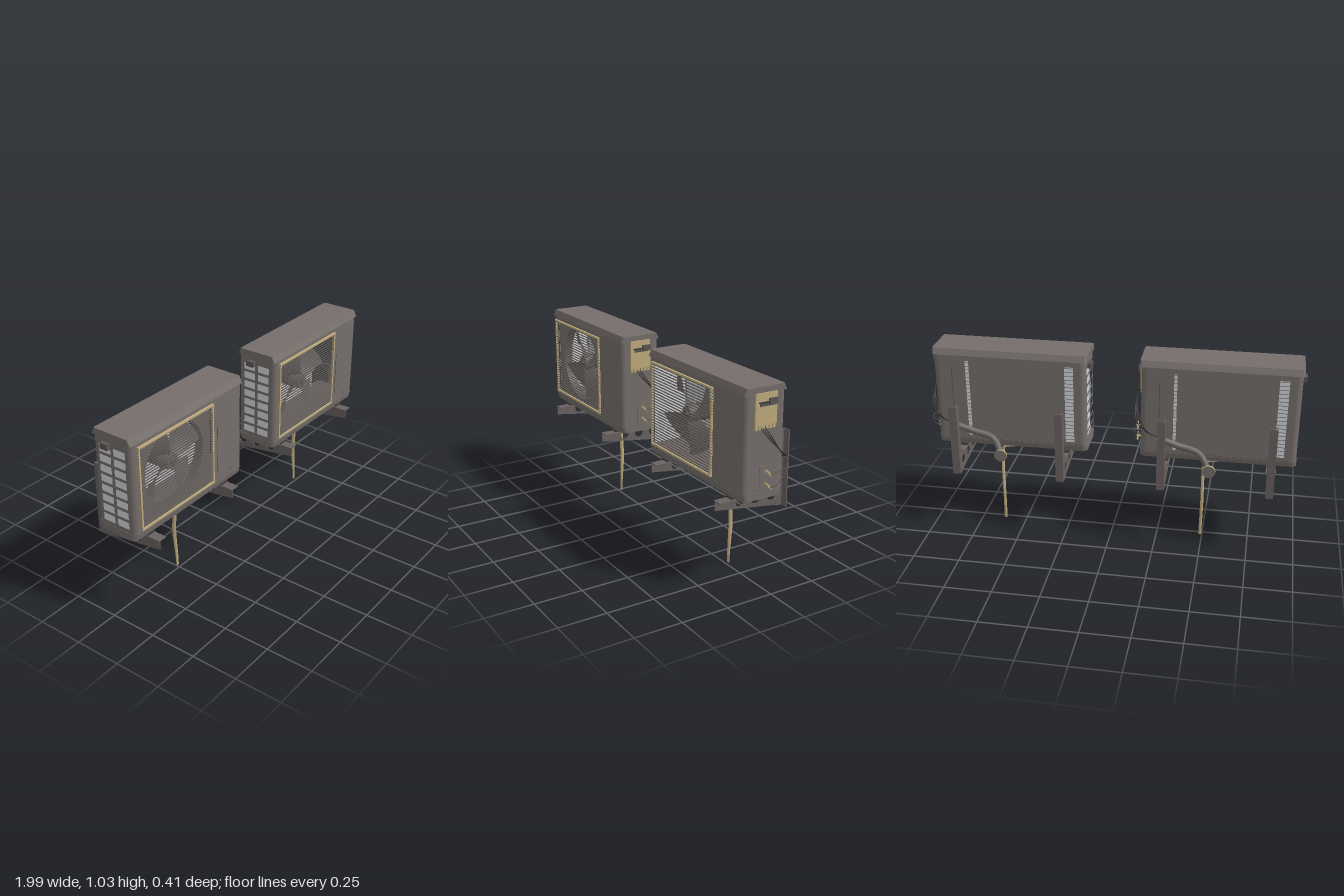
import * as THREE from 'three';

const mat = (name, color, side = THREE.FrontSide) => {
  const m = new THREE.MeshStandardMaterial({ color, side });
  m.name = name;
  return m;
};
const M = {
  body: mat('warm grey casing', 0x756e6b),
  metal: mat('bracket grey', 0x686260, THREE.DoubleSide),
  fan: mat('fan grey', 0x6f6866, THREE.DoubleSide),
  dark: mat('dark rubber', 0x3b3736),
  wire: mat('wire grey', 0x5b5653),
  beige: mat('beige plastic', 0xbfab7d),
  fins: mat('pale aluminium', 0xd4d5da, THREE.DoubleSide),
};
const ZC = 0.0385, HW = 0.41, HD = 0.1175, R = 0.03; // casing centre, half width, half depth, corner
const V = (x, y, z) => new THREE.Vector3(x, y, z);

function add(parent, name, geo, material, x = 0, y = 0, z = 0) {
  const mesh = new THREE.Mesh(geo, material);
  mesh.name = name;
  mesh.position.set(x, y, z);
  parent.add(mesh);
  return mesh;
}
// Box given by its two extreme corners
function box(parent, name, material, x0, x1, y0, y1, z0, z1) {
  return add(parent, name, new THREE.BoxGeometry(x1 - x0, y1 - y0, z1 - z0), material,
    (x0 + x1) / 2, (y0 + y1) / 2, (z0 + z1) / 2);
}
function rect(target, x0, x1, y0, y1) {
  target.moveTo(x0, y0).lineTo(x1, y0).lineTo(x1, y1).lineTo(x0, y1).closePath();
  return target;
}
// Flat sheet with rectangular holes, facing +z before it is turned
function sheet(x0, x1, y0, y1, holes, turn) {
  const s = rect(new THREE.Shape(), x0, x1, y0, y1);
  holes.forEach((h) => s.holes.push(rect(new THREE.Path(), ...h)));
  return new THREE.ShapeGeometry(s).rotateY(turn);
}
function tube(parent, name, material, points, radius, sides = 8) {
  const curve = new THREE.CatmullRomCurve3(points, false, 'centripetal');
  return add(parent, name, new THREE.TubeGeometry(curve, 30, radius, sides), material);
}
// Rounded slab whose lower and upper outlines are drawn in at front and back
function slab(hw, hd, r, y0, y1, lowInset, topInset) {
  const s = new THREE.Shape();
  s.absarc(hw - r, hd - r, r, 0, Math.PI / 2);
  s.absarc(-hw + r, hd - r, r, Math.PI / 2, Math.PI);
  s.absarc(-hw + r, -hd + r, r, Math.PI, Math.PI * 1.5);
  s.absarc(hw - r, -hd + r, r, Math.PI * 1.5, Math.PI * 2);
  const g = new THREE.ExtrudeGeometry(s, { depth: y1 - y0, bevelEnabled: false, curveSegments: 5 });
  g.rotateX(-Math.PI / 2);
  const p = g.attributes.position;
  for (let i = 0; i < p.count; i++)
    p.setZ(i, p.getZ(i) * (1 - (p.getY(i) > (y1 - y0) / 2 ? topInset : lowInset) / hd));
  g.computeVertexNormals();
  return g.translate(0, y0, ZC);
}

function casing(unit) {
  const g = new THREE.Group();
  g.name = 'casing';
  const y0 = 0.515, y1 = 1.0, w = HW - R, d = HD - R;
  add(g, 'frontPanel', sheet(-w, w, y0, y1, [[-0.368, 0.165, 0.545, 0.975]], 0), M.body, 0, 0, ZC + HD);
  add(g, 'backPanel', sheet(-w, w, y0, y1, [[-0.237, 0.345, 0.54, 0.97]], Math.PI), M.body, 0, 0, ZC - HD);
  add(g, 'leftPanel', sheet(-d, d, y0, y1, [], Math.PI / 2), M.body, HW, 0, ZC);
  // Side guard with two columns of openings
  const holes = [];
  for (let r = 0; r < 8; r++) for (const c of [-0.08, 0.008])
    holes.push([c, c + 0.07, 0.545 + r * 0.053, 0.583 + r * 0.053]);
  add(g, 'rightGuard', sheet(-d, d, y0, y1, holes, -Math.PI / 2), M.body, -HW, 0, ZC);
  [[1, 1], [1, -1], [-1, -1], [-1, 1]].forEach(([sx, sz], i) =>
    add(g, 'casingCorner', new THREE.CylinderGeometry(R, R, y1 - y0, 8, 1, true, i * Math.PI / 2, Math.PI / 2),
      M.body, sx * w, (y0 + y1) / 2, ZC + sz * d));
  add(g, 'lid', slab(0.416, 0.119, 0.012, 0.998, 1.03, 0, 0.016), M.body);
  add(g, 'baseTray', slab(0.412, 0.1185, R, 0.488, 0.525, 0.008, 0), M.body);
  // Long shallow grip crease on the front panel
  box(g, 'frontCrease', M.wire, 0.206, 0.209, 0.58, 0.83, 0.154, 0.158);
  box(g, 'frontLatch', M.wire, 0.305, 0.32, 0.55, 0.555, 0.154, 0.158);
  box(g, 'backCrease', M.wire, 0.31, 0.314, 0.66, 0.93, -0.081, -0.077);
  for (const s of [-1, 1]) box(g, 'sideClip', M.wire, s * 0.42 - 0.012, s * 0.42 + 0.012, 0.945, 0.975, -0.015, 0.03);
  unit.add(g);
}

function coil(unit) {
  // Pale finned sheet bent round the back and the guarded side
  add(unit, 'coilBack', sheet(-0.385, 0.3, 0.53, 0.98, [], 0), M.fins, 0, 0, -0.058);
  add(unit, 'coilSide', sheet(-0.13, 0.058, 0.53, 0.98, [], Math.PI / 2), M.fins, -0.395, 0, 0);
  // Plain cover over the middle of the back
  add(unit, 'backCover', sheet(-0.222, 0.295, 0.53, 0.98, [], Math.PI), M.body, 0, 0, -0.066);
  for (let i = 0; i < 20; i++) {
    const y = 0.55 + i * 0.0215;
    box(unit, 'coilWire', M.wire, -0.345, -0.293, y, y + 0.002, -0.071, -0.069);
    box(unit, 'coilWire', M.wire, 0.22, 0.237, y, y + 0.002, -0.071, -0.069);
  }
}

function blade() {
  const g = new THREE.PlaneGeometry(1, 1, 8, 6);
  const p = g.attributes.position;
  for (let i = 0; i < p.count; i++) {
    const u = p.getX(i), t = p.getY(i) + 0.5;
    const r = 0.035 + t * 0.168, a = u * (0.75 + 0.25 * t) + 0.2 * t;
    p.setXYZ(i, r * Math.cos(a), r * Math.sin(a), -u * 0.055 - 0.02 * u * t);
  }
  g.computeVertexNormals();
  return g;
}

function fan(unit, withShroud) {
  const g = new THREE.Group();
  g.name = 'fan';
  g.position.set(-0.1, 0.77, 0.095);
  const bladeGeo = blade();
  for (let i = 0; i < 4; i++)
    add(g, 'fanBlade', bladeGeo, M.fan).rotation.z = Math.PI / 4 - 0.25 + i * Math.PI / 2;
  add(g, 'fanHub', new THREE.CylinderGeometry(0.04, 0.048, 0.05, 24).rotateX(Math.PI / 2), M.fan, 0, 0, 0.005);
  add(g, 'hubCap', new THREE.CylinderGeometry(0.016, 0.02, 0.012, 16).rotateX(Math.PI / 2), M.wire, 0, 0, 0.034);
  add(g, 'fanMotor', new THREE.CylinderGeometry(0.045, 0.045, 0.08, 20).rotateX(Math.PI / 2), M.wire, 0, 0, -0.07);
  unit.add(g);
  if (!withShroud) return;
  // Inner plate with a round mouth around the blades
  const s = rect(new THREE.Shape(), -0.37, 0.168, 0.54, 0.98);
  s.holes.push(new THREE.Path().absarc(-0.1, 0.77, 0.212, 0, Math.PI * 2));
  add(unit, 'fanShroud', new THREE.ShapeGeometry(s, 32), M.body, 0, 0, 0.14);
  add(unit, 'fanRing', new THREE.CylinderGeometry(0.212, 0.212, 0.05, 48, 1, true).rotateX(Math.PI / 2),
    M.metal, -0.1, 0.77, 0.115);
}

function grille(unit) {
  const g = new THREE.Group();
  g.name = 'grille';
  const [x0, x1, y0, y1] = [-0.373, 0.17, 0.538, 0.98];
  box(g, 'grilleFrame', M.beige, x0, x1, y1 - 0.01, y1, 0.153, 0.168);
  box(g, 'grilleFrame', M.beige, x0, x1, y0, y0 + 0.01, 0.153, 0.168);
  for (const x of [x0, x1 - 0.01]) box(g, 'grilleFrame', M.beige, x, x + 0.01, y0, y1, 0.153, 0.166);
  for (let i = 0; i < 29; i++) {
    const y = 0.553 + i * 0.0147;
    box(g, 'grilleWire', M.wire, x0 - 0.001, x1 + 0.001, y, y + 0.003, 0.158, 0.165);
  }
  unit.add(g);
}

function bracket(unit, x) {
  const g = new THREE.Group();
  g.name = 'wallBracket';
  g.position.x = x;
  // Tapered arm with hexagonal cut-outs, drawn as z against y
  const s = new THREE.Shape([[0.205, 0.41], [0.205, 0.462], [-0.19, 0.462], [-0.19, 0.355]]
    .map(([z, y]) => new THREE.Vector2(z, y)));
  for (const z of [0.06, -0.033, -0.126]) {
    const pts = [];
    for (let i = 0; i < 6; i++) {
      const a = i * Math.PI / 3 + 0.2;
      pts.push(new THREE.Vector2(z + 0.028 * Math.cos(a), 0.426 - (0.06 - z) * 0.05 + 0.028 * Math.sin(a)));
    }
    s.holes.push(new THREE.Path(pts));
  }
  const web = new THREE.ExtrudeGeometry(s, { depth: 0.005, bevelEnabled: false }).rotateY(-Math.PI / 2);
  add(g, 'armWeb', web, M.metal, -0.015);
  box(g, 'armFlange', M.metal, -0.025, 0.027, 0.456, 0.462, -0.11, 0.205);
  box(g, 'wallPostWeb', M.metal, -0.02, -0.014, 0.355, 0.75, -0.193, -0.155);
  box(g, 'wallPostPlate', M.metal, -0.02, 0.022, 0.355, 0.75, -0.193, -0.187);
  box(g, 'footRail', M.dark, -0.025, 0.025, 0.467, 0.474, -0.065, 0.14);
  box(g, 'footPad', M.metal, -0.02, 0.02, 0.462, 0.49, -0.045, 0.1);
  unit.add(g);
}

function drain(unit) {
  const pipe = tube(unit, 'drainHose', M.beige, [V(-0.01, 0.482, 0), V(0, 0.468, 0), V(0.03, 0.464, 0),
    V(0.062, 0.455, 0), V(0.07, 0.43, 0), V(0.072, 0.2, -0.008), V(0.076, 0.002, 0.001)], 0.0085);
  // Flattened hose, pinched towards its lower end
  const p = pipe.geometry.attributes.position;
  for (let i = 0; i < p.count; i++)
    p.setZ(i, -0.02 + p.getZ(i) * 1.4 * Math.min(1, 0.35 + p.getY(i) * 3.2));
  pipe.geometry.computeVertexNormals();
  add(unit, 'drainSpout', new THREE.CylinderGeometry(0.02, 0.016, 0.02, 14), M.beige, -0.01, 0.482, -0.02);
}

function connections(unit) {
  // Terminal cover with a hand grip and a row of clamps
  box(unit, 'terminalCover', M.beige, 0.4, 0.42, 0.85, 1.003, -0.02, 0.1);
  box(unit, 'terminalGrip', M.wire, 0.415, 0.4225, 0.94, 0.956, -0.008, 0.078);
  box(unit, 'gripLip', M.dark, 0.415, 0.428, 0.956, 0.961, -0.013, 0.083);
  for (let i = 0; i < 6; i++)
    box(unit, 'cableClamp', M.beige, 0.405, 0.418, 0.83, 0.85, -0.016 + i * 0.02, -0.002 + i * 0.02);
  box(unit, 'valvePlate', M.body, 0.408, 0.413, 0.525, 0.65, -0.01, 0.06);
  // Service valves
  for (const y of [0.62, 0.557]) {
    add(unit, 'valveStem', new THREE.CylinderGeometry(0.006, 0.006, 0.034, 10).rotateZ(Math.PI / 2), M.beige, 0.427, y, 0.027);
    add(unit, 'valveBody', new THREE.CylinderGeometry(0.005, 0.005, 0.045, 10).rotateX(0.7), M.beige, 0.436, y, 0.027);
    tube(unit, 'copperPipe', M.wire, [V(0.44, y - 0.01, 0.02), V(0.448, y + 0.005, -0.02),
      V(0.43, 0.63, -0.09), V(0.36, 0.64, -0.13), V(0.3, 0.628, -0.128)], 0.002, 6);
  }
  // Cables bowing out and round to the back
  for (let i = 0; i < 3; i++) {
    const o = i * 0.012;
    tube(unit, 'cable', M.dark, [V(0.413, 0.84, 0.065 - o), V(0.436, 0.81, 0.052 - o), V(0.446 - o / 3, 0.75, -o / 2),
      V(0.43 - o, 0.69, -0.07), V(0.37, 0.655 + o / 3, -0.125), V(0.3, 0.63, -0.13)], 0.0026, 6);
  }
  // Insulated line set leading to the wall sleeve
  tube(unit, 'lineSet', M.metal, [V(0.31, 0.63, -0.133), V(0.2, 0.585, -0.118), V(0.11, 0.555, -0.11),
    V(0.075, 0.53, -0.125), V(0.045, 0.495, -0.165), V(0.035, 0.489, -0.198)], 0.017, 12);
  add(unit, 'wallSleeve', new THREE.CylinderGeometry(0.034, 0.034, 0.012, 20).rotateX(Math.PI / 2),
    [M.beige, M.beige, M.body], 0.033, 0.489, -0.198);
}

export function createModel() {
  const model = new THREE.Group();
  model.name = 'outdoorUnits';
  [-0.565, 0.545].forEach((x, i) => {
    const unit = new THREE.Group();
    unit.name = i ? 'leftUnit' : 'rightUnit';
    unit.position.x = x;
    casing(unit);
    coil(unit);
    fan(unit, i === 0);
    grille(unit);
    for (const s of [-1, 1]) bracket(unit, s * 0.285);
    drain(unit);
    connections(unit);
    model.add(unit);
  });
  return model;
}
